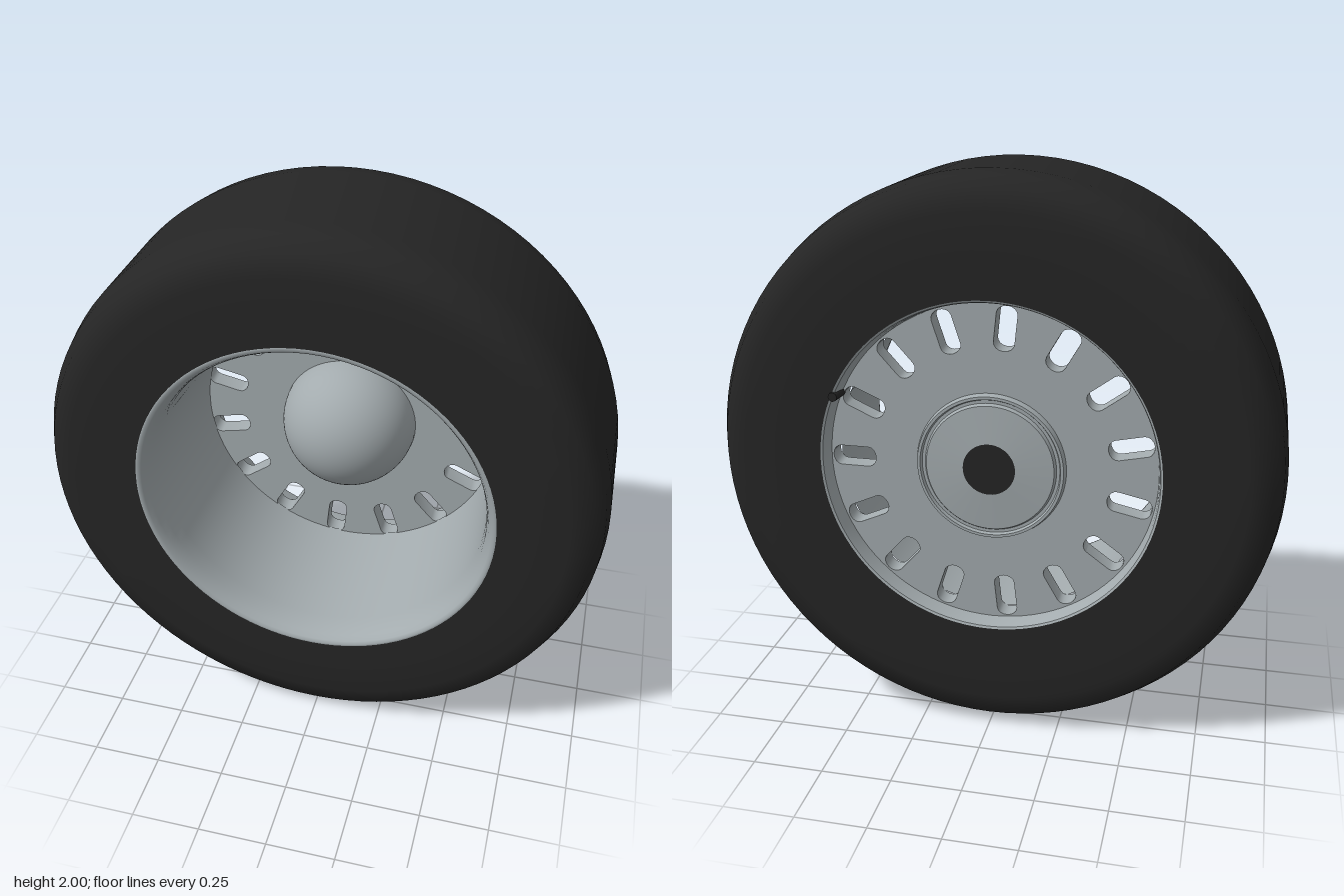
import * as THREE from 'three';
import { toCreasedNormals } from 'three/addons/utils/BufferGeometryUtils.js';

const SEGMENTS = 96;
const SLOTS = 15;

// Revolve [radius, z] pairs around the z axis; crease keeps sharp edges
function turned(profile, crease) {
  const geo = new THREE.LatheGeometry(profile.map(([r, z]) => new THREE.Vector2(r, z)), SEGMENTS);
  geo.rotateX(Math.PI / 2);
  return crease ? toCreasedNormals(geo, crease) : geo;
}

// Rounded ventilation slot lying along the radius at the given angle
function slotPath(angle, inner, outer, half) {
  const points = [];
  const add = (cx, start) => {
    for (let i = 0; i <= 8; i++) {
      const t = start + (Math.PI * i) / 8;
      const p = new THREE.Vector2(cx + half * 0.8 * Math.cos(t), half * Math.sin(t));
      points.push(p.rotateAround(new THREE.Vector2(), angle));
    }
  };
  add(outer - half * 0.8, -Math.PI / 2);
  add(inner + half * 0.8, Math.PI / 2);
  return new THREE.Path(points);
}

export function createModel() {
  const rubber = new THREE.MeshStandardMaterial({ color: 0x252525 });
  rubber.name = 'black rubber';
  const metal = new THREE.MeshStandardMaterial({ color: 0xa3abae });
  metal.name = 'silver metal';

  const wheel = new THREE.Group();
  wheel.name = 'wheel';
  wheel.position.y = 1;
  const add = (name, geometry, material) => {
    const mesh = new THREE.Mesh(geometry, material);
    mesh.name = name;
    wheel.add(mesh);
    return mesh;
  };

  // Tyre: flat sidewalls, rounded shoulders, smooth tread
  add('tyre', turned([
    [0.597, -0.355], [0.75, -0.355], [0.88, -0.355], [0.955, -0.335], [0.988, -0.27], [1, -0.2],
    [1, 0.2], [0.988, 0.27], [0.955, 0.335], [0.88, 0.355], [0.75, 0.355], [0.635, 0.355],
  ]), rubber);

  // Rim: front lip and deep barrel, then the short lip behind the disc
  add('rimBarrel', turned([
    [0.64, 0.355], [0.632, 0.357], [0.622, 0.35], [0.61, 0.33], [0.6, 0.3], [0.593, 0.25],
    [0.565, -0.225],
  ]), metal);
  add('rearLip', turned([
    [0.578, -0.285], [0.585, -0.335], [0.59, -0.35], [0.6, -0.355],
  ], 0.6), metal);

  // Wheel disc with a ring of slots
  const disc = new THREE.Shape().absarc(0, 0, 0.585, 0, Math.PI * 2);
  for (let i = 0; i < SLOTS; i++) {
    disc.holes.push(slotPath((i * Math.PI * 2) / SLOTS, 0.415, 0.572, 0.036));
  }
  const discGeo = new THREE.ExtrudeGeometry(disc, { depth: 0.07, bevelEnabled: false, curveSegments: 48 });
  discGeo.translate(0, 0, -0.29);
  add('wheelDisc', toCreasedNormals(discGeo, 0.6), metal);

  // Domed hub cover on the front of the disc
  const dome = new THREE.SphereGeometry(0.255, 64, 20, 0, Math.PI * 2, 0, Math.PI / 2);
  dome.rotateX(Math.PI / 2);
  add('hubDome', dome, metal).position.z = -0.22;

  // Hub plate on the back, with a raised ring, groove and dark axle hole
  add('hubPlate', turned([
    [0.09, -0.322], [0.225, -0.312], [0.232, -0.3], [0.243, -0.3], [0.248, -0.312],
    [0.258, -0.312], [0.265, -0.288],
  ], 0.4), metal);
  const hole = new THREE.CircleGeometry(0.092, 48);
  hole.rotateY(Math.PI);
  add('axleHole', hole, rubber).position.z = -0.323;

  // Small valve stem at the back edge of the rim
  const valve = new THREE.CylinderGeometry(0.016, 0.02, 0.08, 16);
  valve.rotateX(-Math.PI / 2);
  add('valveStem', valve, rubber).position.set(0.54, 0.235, -0.32);

  const model = new THREE.Group();
  model.name = 'wheelModel';
  model.add(wheel);
  return model;
}
